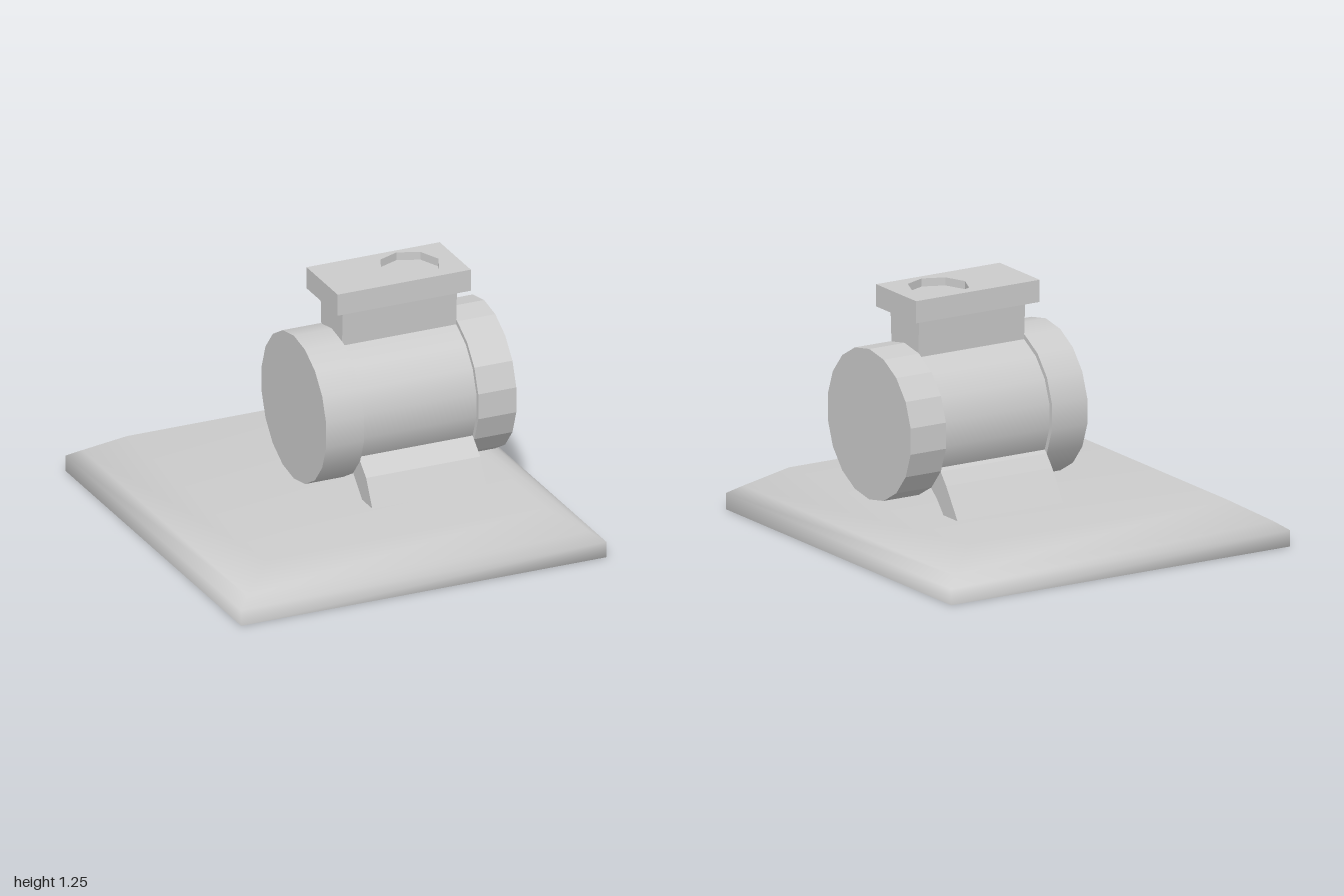
import * as THREE from 'three';

const smooth = new THREE.MeshStandardMaterial({ color: 0xcccccc });
const flat = new THREE.MeshStandardMaterial({ color: 0xcccccc, flatShading: true });

const X0 = -0.04, X1 = 0.56; // span of the middle section along x
const AXIS_Y = 0.62, AXIS_Z = 0.04;

function add(group, name, geometry, material = flat) {
  const mesh = new THREE.Mesh(geometry, material);
  mesh.name = name;
  group.add(mesh);
  return mesh;
}

// Slab with bevelled shoulders: rectangular rings [halfX, halfZ, y] joined bottom to top
function baseGeometry() {
  const rings = [[0.96, 1, 0], [0.96, 1, 0.08], [0.9, 0.94, 0.122], [0.73, 0.8, 0.22]];
  const pos = [], idx = [];
  for (const [x, z, y] of rings) pos.push(-x, y, z, x, y, z, x, y, -z, -x, y, -z);
  for (let r = 0; r < rings.length - 1; r++) {
    for (let i = 0; i < 4; i++) {
      const a = r * 4 + i, b = r * 4 + (i + 1) % 4;
      idx.push(a, b, b + 4, a, b + 4, a + 4);
    }
  }
  const t = (rings.length - 1) * 4;
  idx.push(t, t + 1, t + 2, t, t + 2, t + 3);
  const g = new THREE.BufferGeometry();
  g.setAttribute('position', new THREE.Float32BufferAttribute(pos, 3));
  g.setIndex(idx);
  g.computeVertexNormals();
  return g;
}

// Drum along x with a corner at its top
function drum(radius, x0, x1) {
  return new THREE.CylinderGeometry(radius, radius, x1 - x0, 18, 1, false, Math.PI / 2)
    .rotateZ(Math.PI / 2)
    .translate((x0 + x1) / 2, AXIS_Y, AXIS_Z);
}

// Extrudes a [z, y] outline along x
function profileAlongX(points, x0, x1) {
  const shape = new THREE.Shape(points.map(([z, y]) => new THREE.Vector2(-z, y)));
  return new THREE.ExtrudeGeometry(shape, { depth: x1 - x0, bevelEnabled: false })
    .rotateY(Math.PI / 2)
    .translate(x0, 0, 0);
}

export function createModel() {
  const model = new THREE.Group();
  model.name = 'motorOnBase';

  // Base slab and its flat underside
  add(model, 'base', baseGeometry(), smooth);
  add(model, 'baseUnderside', new THREE.PlaneGeometry(1.92, 2).rotateX(Math.PI / 2));

  // Body drum with a wider cap at each end
  add(model, 'body', drum(0.35, X0, X1), smooth);
  add(model, 'rightCap', drum(0.373, -0.24, X0), smooth);
  add(model, 'leftCap', drum(0.373, X1, 0.76), flat);

  // Bent feet
  add(model, 'frontFoot', profileAlongX([
    [0.5, 0.238], [0.43, 0.37], [0.36, 0.43], [0.29, 0.49],
    [0.21, 0.41], [0.285, 0.335], [0.335, 0.285], [0.385, 0.238],
  ], X0, X1));
  add(model, 'backFoot', profileAlongX([
    [-0.43, 0.22], [-0.33, 0.37], [-0.28, 0.43], [-0.21, 0.49],
    [-0.13, 0.41], [-0.19, 0.335], [-0.25, 0.285], [-0.305, 0.22],
  ], X0, X1));

  // Neck, slightly wider at its top
  add(model, 'neck', profileAlongX([
    [0.155, 0.85], [0.155, 0.95], [0.165, 1.14], [-0.09, 1.14], [-0.08, 0.95], [-0.08, 0.85],
  ], X0, X1));

  // Terminal plate: solid lower layer, upper layer with an octagonal recess
  const width = 0.7, depth = 0.355, cx = 0.26, cz = 0.037, recess = 0.04;
  add(model, 'plateLower', new THREE.BoxGeometry(width, 0.11 - recess, depth)
    .translate(cx, 1.14 + (0.11 - recess) / 2, cz));
  const top = new THREE.Shape([[-1, -1], [1, -1], [1, 1], [-1, 1]].map(
    ([x, z]) => new THREE.Vector2(cx + x * width / 2, -cz + z * depth / 2)));
  const hole = [];
  for (let i = 0; i < 8; i++) {
    const a = -i * Math.PI / 4;
    hole.push(new THREE.Vector2(0.373 + 0.15 * Math.cos(a), -0.032 + 0.15 * Math.sin(a)));
  }
  top.holes.push(new THREE.Path(hole));
  add(model, 'plateUpper', new THREE.ExtrudeGeometry(top, { depth: recess, bevelEnabled: false })
    .rotateX(-Math.PI / 2)
    .translate(0, 1.25 - recess, 0));

  return model;
}
